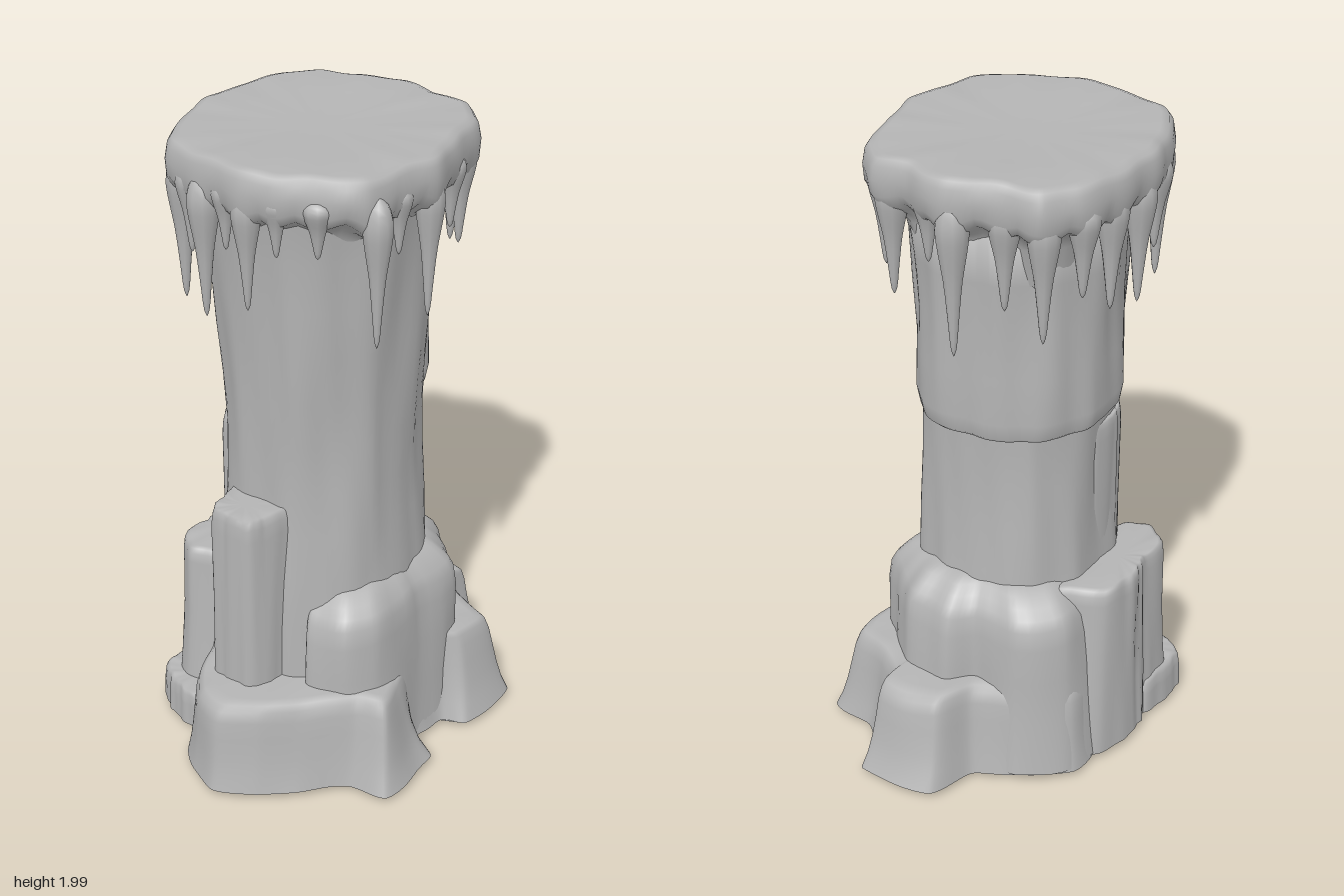
import * as THREE from 'three';

const stone = new THREE.MeshStandardMaterial({ color: 0xb4b4b4 });
stone.name = 'grey stone';

// Smooth repeatable ripple used to weather every surface
const ripple = (a, y, s) =>
  0.5 * Math.sin(a * 9 + y * 3 + s) + 0.3 * Math.sin(a * 17 - y * 6 + s * 2.3) + 0.35 * Math.sin(a * 4 + y * 9 + s * 1.7);

// n points along a smooth closed (x, z) outline
function loop(outline, n) {
  const curve = new THREE.CatmullRomCurve3(outline.map(([x, z]) => new THREE.Vector3(x, 0, z)), true, 'catmullrom', 0.35);
  return Array.from({ length: n }, (_, i) => curve.getPoint(i / n));
}

// Closed rock; outlines run clockwise seen from above (+x towards +z).
// Levels are [y, scale about the centre, blend from outline to crown]; sag(x, z, level) lowers single points
function rock(name, outline, levels, { crown = outline, rough = 0.01, n = 96, seed = 1, dropY = 0, topRough = 0.008, sag = () => 0 } = {}) {
  const low = loop(outline, n), high = loop(crown, n);
  const c = low.reduce((s, p) => s.add(p), new THREE.Vector3()).divideScalar(n);
  const pos = [], idx = [];
  levels.forEach(([y, s, t = 0], k) => {
    low.forEach((q, i) => {
      const p = q.clone().lerp(high[i], t);
      const dx = p.x - c.x, dz = p.z - c.z, r = Math.hypot(dx, dz), a = Math.atan2(dz, dx);
      const f = s * (1 + (rough * ripple(a, y, seed)) / r);
      const lift = k > 0 ? topRough * ripple(a, 0, seed + 4) * Math.min(1, s ** 5) : 0;
      pos.push(c.x + dx * f, y + lift - sag(p.x, p.z, k), c.z + dz * f);
    });
  });
  const last = levels.length - 1;
  for (let k = 0; k < last; k++) for (let i = 0; i < n; i++) {
    const a = k * n + i, b = k * n + (i + 1) % n;
    idx.push(a, a + n, b, b, a + n, b + n);
  }
  const bottom = pos.length / 3, top = bottom + 1;
  pos.push(c.x, levels[0][0] - dropY, c.z, c.x, levels[last][0], c.z);
  // Separate bottom ring keeps the foot edge sharp
  const foot = top + 1;
  pos.push(...pos.slice(0, n * 3));
  for (let i = 0; i < n; i++) {
    const j = (i + 1) % n;
    idx.push(bottom, foot + i, foot + j, top, last * n + j, last * n + i);
  }
  const g = new THREE.BufferGeometry();
  g.setAttribute('position', new THREE.Float32BufferAttribute(pos, 3));
  g.setIndex(idx);
  g.computeVertexNormals();
  const m = new THREE.Mesh(g, stone);
  m.name = name;
  return m;
}

// Tapered side with a rounded upper rim
const block = (y0, y1, flare, rim = 0.05) => [
  [y0, flare], [y0 + (y1 - y0) * 0.3, 1 + (flare - 1) * 0.55], [y0 + (y1 - y0) * 0.6, 1 + (flare - 1) * 0.2],
  [y1 - rim, 1], [y1 - rim * 0.4, 0.975], [y1 - rim * 0.1, 0.93], [y1, 0.86], [y1, 0.5],
];

// Icicles as [x, z, tip height, radius]
const icicles = [[-0.16, 0.35, 1.49, 0.05], [0, 0.365, 1.56, 0.045], [0.09, 0.35, 1.74, 0.04], [0.2, 0.31, 1.75, 0.045],
  [0.33, 0.215, 1.48, 0.045], [0.32, 0.1, 1.72, 0.04], [0.34, -0.02, 1.49, 0.045], [0.31, -0.17, 1.7, 0.045],
  [0.27, -0.28, 1.6, 0.05], [0.19, -0.36, 1.56, 0.05], [0.06, -0.38, 1.7, 0.045], [-0.04, -0.415, 1.45, 0.05],
  [-0.17, -0.36, 1.6, 0.05], [-0.28, -0.34, 1.52, 0.05], [-0.35, -0.25, 1.64, 0.05], [-0.37, -0.13, 1.56, 0.05],
  [-0.385, 0, 1.53, 0.05], [-0.365, 0.13, 1.64, 0.05], [-0.3, 0.27, 1.48, 0.05], [-0.23, 0.32, 1.66, 0.045],
  [-0.08, 0.355, 1.72, 0.04]];

// Hanging icicle whose rounded root is buried in the cap
function icicle([x, z, tip, r]) {
  const h = 1.93 - tip;
  const prof = [[0.002, 0], [0.18, 0.06], [0.34, 0.25], [0.55, 0.48], [0.85, 0.68], [0.98, 0.82], [0.7, 0.94], [0.1, 1]]
    .map(([s, t]) => new THREE.Vector2(s * r, t * h));
  const m = new THREE.Mesh(new THREE.LatheGeometry(new THREE.SplineCurve(prof).getPoints(16), 10), stone);
  m.name = 'icicle';
  m.position.set(x, tip, z);
  return m;
}

// The cap's lower edge droops toward each icicle
const droop = (x, z, k) => [0, 0, 0.03, 0.06, 0.07, 0.05, 0.02][k] * Math.max(...icicles.map(([ix, iz, tip]) =>
  Math.min(1, (1.95 - tip) / 0.35) * Math.exp(-(((x - ix) ** 2 + (z - iz) ** 2) / 0.0035)))) || 0;

export function createModel() {
  const model = new THREE.Group();
  model.name = 'icyPillar';

  // Spreading base, sloping in from the ground to the lower ledge
  const base = [[-0.04, -0.6], [0.2, -0.6], [0.2, -0.52], [0.31, -0.42], [0.455, -0.37], [0.455, -0.15], [0.38, -0.11],
    [0.36, 0.02], [0.455, 0.07], [0.455, 0.31], [0.33, 0.335], [0.21, 0.45], [0.12, 0.54], [0, 0.6], [-0.11, 0.55], [-0.19, 0.47],
    [-0.23, 0.38], [-0.3, 0.2], [-0.36, -0.1], [-0.37, -0.28], [-0.2, -0.39], [-0.1, -0.44]];
  const ledge = [[-0.02, -0.53], [0.17, -0.53], [0.18, -0.46], [0.26, -0.39], [0.385, -0.33], [0.39, -0.2], [0.34, -0.13],
    [0.335, 0.02], [0.37, 0.14], [0.4, 0.25], [0.32, 0.3], [0.2, 0.41], [0.11, 0.51], [0, 0.56], [-0.1, 0.52], [-0.17, 0.43],
    [-0.21, 0.35], [-0.27, 0.2], [-0.33, -0.1], [-0.34, -0.26], [-0.19, -0.36], [-0.08, -0.42]];
  model.add(rock('base', base, [[0.02, 1, 0], [0.07, 1, 0.3], [0.13, 1, 0.55], [0.2, 1, 0.76], [0.26, 1, 0.92], [0.295, 0.985, 1],
    [0.312, 0.95, 1], [0.318, 0.88, 1], [0.32, 0.5, 1]], { crown: ledge, n: 176, dropY: 0.02, seed: 2, rough: 0.009 }));
  model.add(rock('lowStep', [[-0.15, 0.36], [-0.24, 0.385], [-0.36, 0.35], [-0.43, 0.28], [-0.41, 0.1], [-0.2, 0.1]],
    block(0.02, 0.145, 1.03, 0.04), { seed: 1, rough: 0.005 }));

  // Upper ledge and its side blocks
  const shelf = [[0.335, -0.22], [0.335, 0], [0.34, 0.2], [0.27, 0.28], [0.15, 0.3], [0.1, 0.25], [-0.15, 0.26], [-0.27, 0.2],
    [-0.33, -0.05], [-0.33, -0.26], [-0.2, -0.36], [-0.06, -0.35], [0.02, -0.4], [0.16, -0.39], [0.23, -0.32]];
  model.add(rock('upperLedge', shelf, [[0.03, 1.09], [0.2, 1.04], [0.35, 1.02], [0.47, 1], [0.53, 0.97], [0.56, 0.92],
    [0.585, 0.85], [0.61, 0.77], [0.63, 0.65]], { seed: 3, rough: 0.01 }));
  model.add(rock('leftBlock', [[-0.15, 0], [-0.22, 0.24], [-0.32, 0.28], [-0.4, 0.21], [-0.395, 0.1], [-0.41, 0], [-0.38, -0.13], [-0.22, -0.2]],
    block(0.025, 0.61, 1.19, 0.05), { seed: 4, rough: 0.006 }));
  model.add(rock('frontBlock', [[0.075, 0.2], [0.05, 0.38], [0.01, 0.425], [-0.07, 0.425], [-0.12, 0.41], [-0.14, 0.34], [-0.15, 0.2]],
    block(0.1, 0.9, 1.03, 0.07), { seed: 5, rough: 0.004, n: 56 }));

  // Faceted shaft
  const shaft = [[0.26, -0.1], [0.255, 0.1], [0.18, 0.22], [0.08, 0.29], [-0.1, 0.29], [-0.21, 0.23], [-0.265, 0.1],
    [-0.26, -0.1], [-0.18, -0.22], [-0.06, -0.265], [0.1, -0.265], [0.21, -0.21]];
  model.add(rock('shaft', shaft, [[0.3, 1.1], [0.5, 1.06], [0.65, 1.03], [0.8, 1], [0.95, 0.98], [1.1, 0.98], [1.25, 1],
    [1.4, 1.03], [1.55, 1.06], [1.7, 1.09], [1.85, 1.14], [1.92, 1.2]], { seed: 6, rough: 0.007 }));
  model.add(rock('sideStep', [[-0.15, 0], [-0.15, 0.2], [-0.23, 0.21], [-0.272, 0.12], [-0.26, 0]],
    block(0.3, 1.08, 1.02, 0.06), { seed: 9, rough: 0.003, n: 40 }));

  // Overhanging slab merging into the back and right flank
  const slab = [[0.2, -0.08], [0, 0.1], [-0.2, 0.2], [-0.28, 0.13], [-0.32, 0.02], [-0.32, -0.12], [-0.25, -0.25], [-0.12, -0.33],
    [0.06, -0.345], [0.16, -0.295], [0.225, -0.19]];
  model.add(rock('backSlab', slab, [[1.15, 0.93], [1.16, 0.97], [1.21, 1], [1.35, 0.99], [1.5, 0.98], [1.65, 1], [1.85, 1.06]],
    { seed: 7, rough: 0.006, topRough: 0 }));

  // Frozen cap, flaring out of the shaft
  const cap = [[-0.3, -0.385], [-0.2, -0.4], [-0.03, -0.455], [0.1, -0.41], [0.22, -0.41], [0.3, -0.32], [0.35, -0.16], [0.375, 0],
    [0.345, 0.13], [0.32, 0.25], [0.2, 0.34], [0.1, 0.385], [0, 0.4], [-0.12, 0.385], [-0.29, 0.33], [-0.37, 0.24], [-0.41, 0.1],
    [-0.43, 0], [-0.4, -0.18], [-0.37, -0.3]];
  model.add(rock('cap', cap, [[1.65, 0.7], [1.77, 0.76], [1.82, 0.82], [1.85, 0.89], [1.87, 0.96], [1.895, 1], [1.93, 1.01],
    [1.962, 0.995], [1.982, 0.965], [1.99, 0.91], [1.985, 0.6], [1.98, 0.3]],
  { seed: 8, rough: 0.008, n: 200, topRough: 0.006, sag: droop }));

  const fringe = new THREE.Group();
  fringe.name = 'icicles';
  icicles.forEach((d) => fringe.add(icicle(d)));
  model.add(fringe);
  return model;
}
